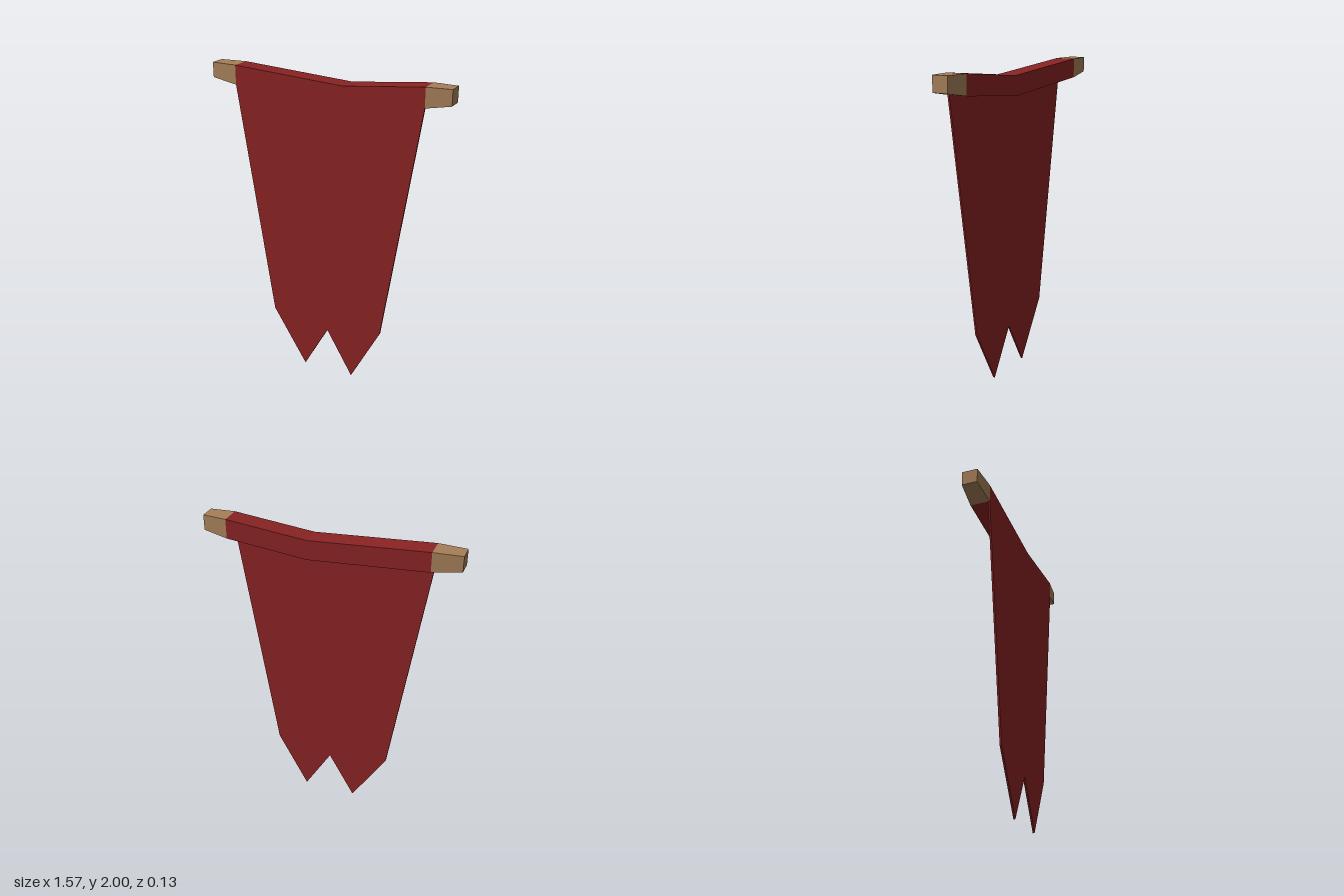
import * as THREE from 'three';

const DEPTH = 0.064;

// Lofts a solid bar along x through sections [x, bottom, top, halfDepth]
function loftBar(sections) {
  const rings = sections.map(([x, y0, y1, d]) => [
    [x, y0, -d], [x, y0, d], [x, y1, d], [x, y1, -d],
  ]);
  const pos = [];
  const quad = (a, b, c, d) => pos.push(...a, ...b, ...c, ...a, ...c, ...d);
  for (let s = 0; s < rings.length - 1; s++) {
    const a = rings[s], b = rings[s + 1];
    for (let i = 0; i < 4; i++) {
      const j = (i + 1) % 4;
      quad(a[i], b[i], b[j], a[j]);
    }
  }
  quad(...rings[0]);
  quad(...[...rings[rings.length - 1]].reverse());
  const geo = new THREE.BufferGeometry();
  geo.setAttribute('position', new THREE.Float32BufferAttribute(pos, 3));
  geo.computeVertexNormals();
  return geo;
}

export function createModel() {
  const cloth = new THREE.MeshStandardMaterial({ color: 0x8a2323 });
  cloth.name = 'red cloth';
  const wood = new THREE.MeshStandardMaterial({ color: 0xa67f59 });
  wood.name = 'light wood';

  const banner = new THREE.Group();
  banner.name = 'banner';
  const add = (name, geometry, material) => {
    const mesh = new THREE.Mesh(geometry, material);
    mesh.name = name;
    banner.add(mesh);
    return mesh;
  };

  // Cross-sections of the sagging pole, tapered towards both tips
  const rightTip = [-0.787, 1.905, 2, 0.05];
  const rightEdge = [-0.613, 1.879, 2, DEPTH];
  const sag = [0.122, 1.828, 1.95, DEPTH];
  const leftEdge = [0.632, 1.879, 2, DEPTH];
  const leftTip = [0.784, 1.905, 2, 0.05];

  add('poleEndRight', loftBar([rightTip, rightEdge]), wood);
  add('poleEndLeft', loftBar([leftEdge, leftTip]), wood);
  add('clothSleeve', loftBar([rightEdge, sag, leftEdge]), cloth);

  // Hanging cloth with a swallowtail hem, flush with the sleeve front
  const outline = [rightEdge, [-0.377, 0.368], [-0.147, 0], [0.022, 0.3],
    [0.199, 0], [0.398, 0.37], leftEdge, sag];
  const shape = new THREE.Shape(outline.map(([x, y]) => new THREE.Vector2(x, y)));
  const thickness = 0.012;
  const sheet = new THREE.ExtrudeGeometry(shape, { depth: thickness, bevelEnabled: false });
  add('hangingCloth', sheet, cloth).position.z = DEPTH - thickness;

  return banner;
}
